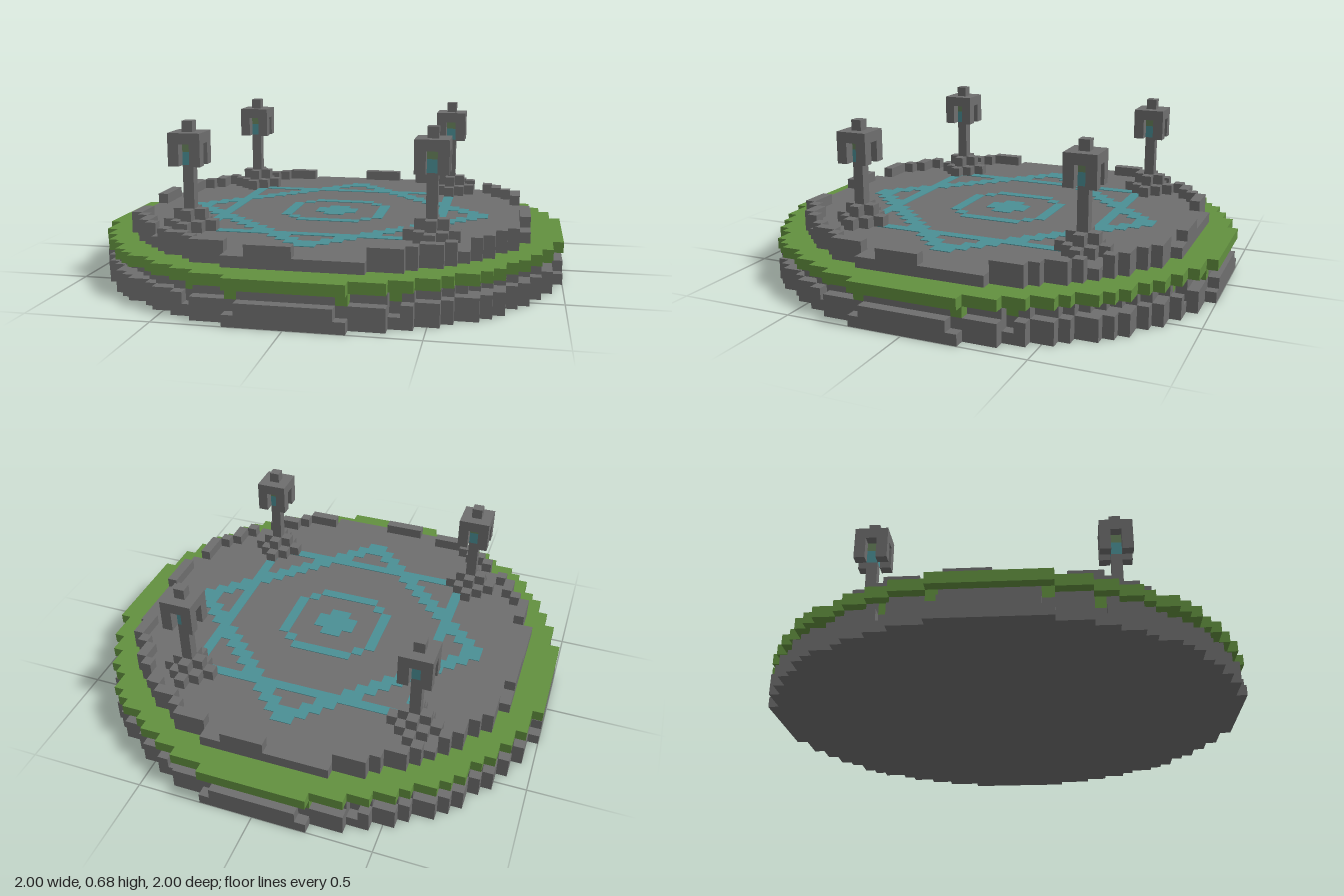
import * as THREE from 'three';
import { mergeGeometries } from 'three/addons/utils/BufferGeometryUtils.js';

const U = 1 / 22; // size of one block
const N = 22;     // blocks from the centre to the edge

const mat = (name, color) => {
  const m = new THREE.MeshStandardMaterial({ color });
  m.name = name;
  return m;
};

// Fold a cell index so that -1 and 0 both count as 0 (mirror about the centre)
const fold = (i) => (i < 0 ? -i - 1 : i);
const inDisc = (i, j, r) => (i + 0.5) ** 2 + (j + 0.5) ** 2 <= r * r;
const onEdge = (i, j, r) => inDisc(i, j, r) &&
  !(inDisc(i + 1, j, r) && inDisc(i - 1, j, r) && inDisc(i, j + 1, r) && inDisc(i, j - 1, r));

function block(x0, x1, y0, y1, z0, z1) {
  const g = new THREE.BoxGeometry((x1 - x0) * U, (y1 - y0) * U, (z1 - z0) * U);
  return g.translate((x0 + x1) / 2 * U, (y0 + y1) / 2 * U, (z0 + z1) / 2 * U);
}

// All cells passing the test, joined into one bar per unbroken run along x
function layer(name, material, y0, y1, test) {
  const bars = [];
  for (let j = -N; j < N; j++) {
    let start = null;
    for (let i = -N; i <= N; i++) {
      const on = i < N && test(i, j);
      if (on && start === null) start = i;
      if (!on && start !== null) {
        bars.push(block(start, i, y0, y1, j, j + 1));
        start = null;
      }
    }
  }
  const mesh = new THREE.Mesh(mergeGeometries(bars), material);
  mesh.name = name;
  return mesh;
}

// Raised kerb: four short blocks turning around the centre and four corner arcs
function isKerb(i, j) {
  if (!onEdge(i, j, 19.5)) return false;
  const a = fold(i), b = fold(j);
  if (a === 13 && b === 13) return false;
  if (Math.min(a, b) >= 6) return true;
  if (b === 18) return a < 4 && (j > 0 ? i < 0 : i >= 0);
  if (a === 18) return b < 4 && (i > 0 ? j >= 0 : j < 0);
  return false;
}

// Floor pattern: two crossed squares, an octagon ring and a small cross
function isPattern(i, j) {
  const a = fold(i), b = fold(j), sum = a + b, big = Math.max(a, b);
  const diamond = sum === 13 || sum === 14;
  const square = big === 10;
  const octagon = (big === 4 && Math.min(a, b) <= 2) || (a === 3 && b === 3);
  return diamond || square || octagon || sum <= 1;
}

function lamp(stone, glow, moss) {
  const g = new THREE.Group();
  g.name = 'lamp';
  const dist = (i, j) => Math.abs(i) + Math.abs(j);
  g.add(layer('lampFoot', stone, 5, 6, (i, j) => dist(i, j) <= 2));
  g.add(layer('lampStep', stone, 6, 7, (i, j) => dist(i, j) <= 1));
  const single = (i, j) => i === 0 && j === 0;
  g.add(layer('lampPole', stone, 7, 11, single));
  g.add(layer('lampLight', glow, 11, 12.2, single));
  g.add(layer('lampLightTop', moss, 12.2, 13, single));
  g.add(layer('lampCornerPosts', stone, 11, 13, (i, j) => Math.abs(i) === 1 && Math.abs(j) === 1));
  g.add(layer('lampRoof', stone, 13, 14, (i, j) => Math.abs(i) <= 1 && Math.abs(j) <= 1));
  g.add(layer('lampFinial', stone, 14, 15, single));
  return g;
}

export function createModel() {
  const stone = mat('stone grey', 0x6e6e6e);
  const grass = mat('grass green', 0x62903f);
  const glow = mat('teal', 0x4b8f95);
  const moss = mat('mossy grey', 0x66805a);

  const model = new THREE.Group();
  model.name = 'roundPlatform';

  // Base slab with a broken upper course of stones
  model.add(layer('baseSlab', stone, 0, 1, (i, j) => inDisc(i, j, 22)));
  const gap = (i, j) => {
    const m = Math.min(fold(i), fold(j));
    return m === 4 || m === 8;
  };
  model.add(layer('baseStones', stone, 1, 2, (i, j) =>
    inDisc(i, j, 21) || (inDisc(i, j, 22) && !gap(i, j))));

  // Recessed course with patches of grass showing
  const grassy = (i, j) => onEdge(i, j, 21) && gap(i, j);
  model.add(layer('recessedStones', stone, 2, 3, (i, j) => inDisc(i, j, 21) && !grassy(i, j)));
  model.add(layer('recessedGrass', grass, 2, 3, grassy));

  // Grass ring, paved floor and kerb
  model.add(layer('grassDisc', grass, 3, 4, (i, j) => inDisc(i, j, 22)));
  model.add(layer('floor', stone, 4, 5, (i, j) => inDisc(i, j, 19.5)));
  model.add(layer('kerb', stone, 5, 6, isKerb));
  model.add(layer('floorPattern', glow, 5, 5.06, isPattern));

  // Four lamps
  for (const x of [-12, 10]) for (const z of [-12, 10]) {
    const l = lamp(stone, glow, moss);
    l.position.set(x * U, 0, z * U);
    model.add(l);
  }
  return model;
}
